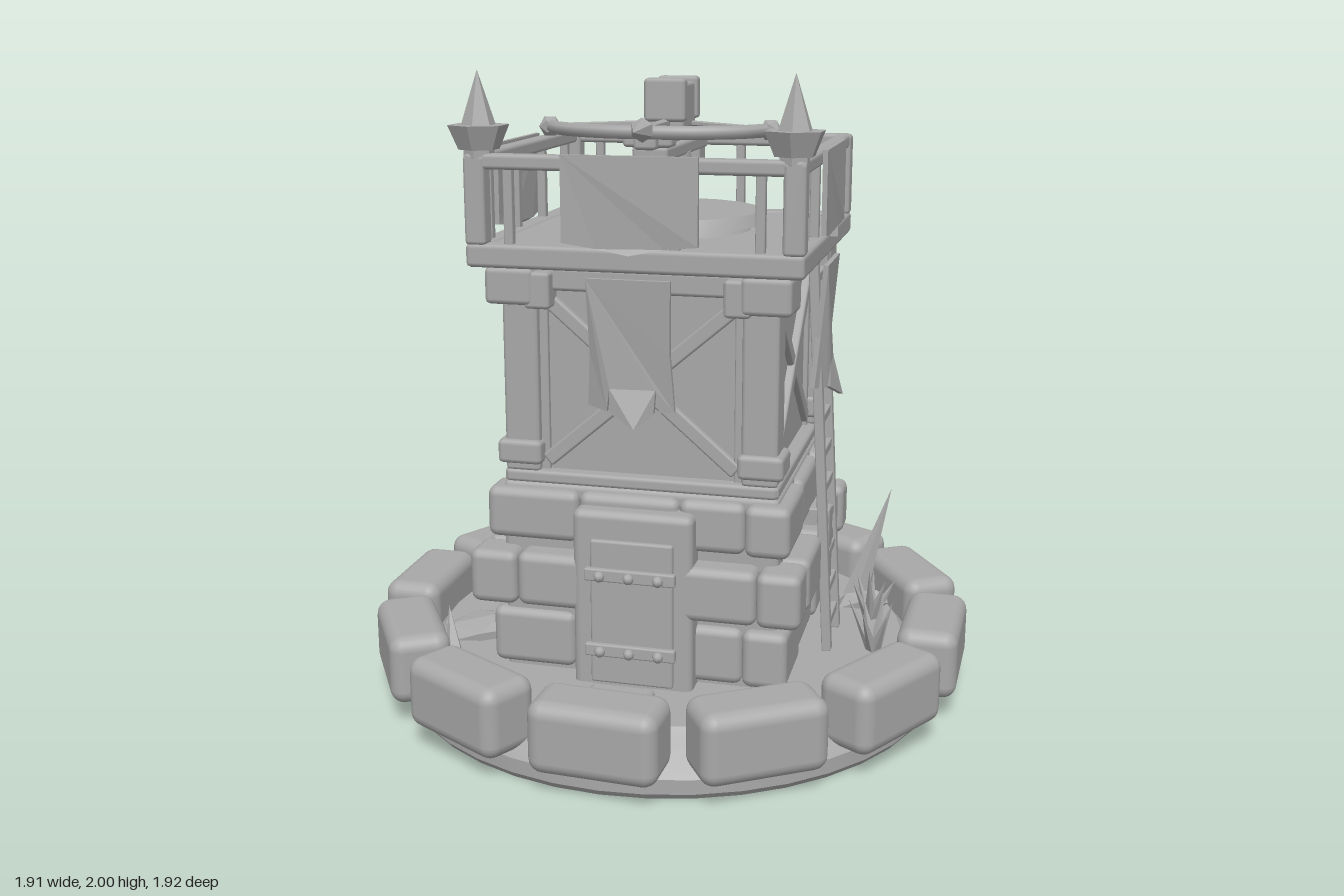
import * as THREE from 'three';
import { RoundedBoxGeometry } from 'three/addons/geometries/RoundedBoxGeometry.js';
import { toCreasedNormals } from 'three/addons/utils/BufferGeometryUtils.js';

const grey = new THREE.MeshStandardMaterial({ color: 0xa8a8a8, side: THREE.DoubleSide });
grey.name = 'stone grey';
const V = (x, y, z) => new THREE.Vector3(x, y, z);

let seed = 7;
const rand = () => (seed = (seed * 16807) % 2147483647) / 2147483647;

function add(parent, name, geo, x = 0, y = 0, z = 0) {
  const m = new THREE.Mesh(geo, grey);
  m.name = name;
  m.position.set(x, y, z);
  parent.add(m);
  return m;
}
const facet = (geo) => toCreasedNormals(geo, 0.5);
// Bevelled box given by its extents
function block(parent, name, x0, x1, y0, y1, z0, z1, r = 0.012, seg = 1) {
  const w = x1 - x0, h = y1 - y0, d = z1 - z0;
  const geo = new RoundedBoxGeometry(w, h, d, seg, Math.min(r, w * 0.45, h * 0.45, d * 0.45));
  return add(parent, name, geo, (x0 + x1) / 2, (y0 + y1) / 2, (z0 + z1) / 2);
}
// Tapered bar between two points
function bar(parent, name, a, b, r0, r1 = r0, sides = 6) {
  const dir = b.clone().sub(a);
  const m = add(parent, name, facet(new THREE.CylinderGeometry(r1, r0, dir.length(), sides)));
  m.position.copy(a).add(b).multiplyScalar(0.5);
  m.quaternion.setFromUnitVectors(V(0, 1, 0), dir.normalize());
  return m;
}
// Hanging cloth with a ragged lower edge, swelling towards the bottom
function cloth(parent, name, pts, z, swell) {
  const geo = new THREE.ExtrudeGeometry(new THREE.Shape(pts.map(p => new THREE.Vector2(...p))),
    { depth: 0.015, bevelEnabled: false });
  const p = geo.attributes.position, top = pts[0][1];
  for (let i = 0; i < p.count; i++) {
    const t = Math.max(0, top - p.getY(i));
    p.setZ(i, p.getZ(i) + swell * t * Math.cos(p.getX(i) * 24));
  }
  geo.computeVertexNormals();
  return add(parent, name, geo, 0, 0, z);
}

function buildBase(root) {
  const g = new THREE.Group();
  g.name = 'base';
  root.add(g);
  const profile = [[0, 0], [0.865, 0], [0.88, 0.02], [0.88, 0.065], [0.86, 0.09], [0.79, 0.14], [0.76, 0.17], [0, 0.17]];
  add(g, 'groundDisc', toCreasedNormals(new THREE.LatheGeometry(profile.map(p => new THREE.Vector2(...p)), 40), 0.6));
  // Ring of twelve kerb stones
  for (let i = 0; i < 12; i++) {
    const a = i * Math.PI / 6;
    const s = add(g, 'kerbStone', new RoundedBoxGeometry(0.385, 0.22, 0.19, 3, 0.045),
      Math.sin(a) * 0.86, 0.185, Math.cos(a) * 0.86);
    s.rotation.y = a + (rand() - 0.5) * 0.1;
  }
  block(g, 'doorStep', -0.1, 0.1, 0.13, 0.22, 0.6, 0.71, 0.02, 2);
  // Tall thorns leaning outwards
  for (const [x, z, tx, ty, tz] of [[0.56, -0.41, 0.67, 0.54, -0.49], [-0.56, -0.41, -0.67, 0.54, -0.49],
    [0, -0.68, 0, 0.54, -0.84], [-0.55, 0.55, -0.61, 0.35, 0.45]])
    bar(g, 'thorn', V(x, 0.15, z), V(tx, ty, tz), 0.045, 0, 5);
  // Grass tufts
  for (const [x, z] of [[-0.32, -0.58], [-0.22, -0.64], [0.08, -0.62], [0.64, -0.2], [0.68, 0.06]])
    for (let i = 0; i < 6; i++) {
      const a = i * 1.05 + x * 9, r = 0.04 + rand() * 0.05;
      bar(g, 'grassBlade', V(x, 0.16, z), V(x + Math.cos(a) * r, 0.29 + rand() * 0.08, z + Math.sin(a) * r), 0.022, 0, 4);
    }
  // Flat slabs lying on the ground
  for (const [x, z, w, d, turn] of [[-0.6, 0.22, 0.17, 0.1, 0.4], [0.22, -0.68, 0.06, 0.18, -0.2], [0.6, -0.31, 0.1, 0.05, 0.2]]) {
    const s = add(g, 'slab', facet(new THREE.IcosahedronGeometry(1, 0)), x, 0.18, z);
    s.scale.set(w, 0.045, d);
    s.rotation.set(0.1, turn, 0.12);
  }
}

// One wall, facing +z, turned into place by its group
function buildSide(root, k) {
  const g = new THREE.Group();
  g.name = ['frontWall', 'rightWall', 'backWall', 'leftWall'][k];
  g.rotation.y = k * Math.PI / 2;
  root.add(g);
  // Stone courses, interlocking at the corners
  const courses = [[0.18, 0.36, 0.465, [-0.465, -0.2, 0.12, 0.325]],
    [0.395, 0.565, 0.515, [-0.515, -0.365, -0.1, 0.1, 0.375]],
    [0.595, 0.755, 0.47, [-0.47, -0.18, 0.13, 0.33]]];
  for (const [y0, y1, h, cuts] of courses)
    for (let i = 0; i < cuts.length - 1; i++)
      block(g, 'wallStone', cuts[i], cuts[i + 1], y0, y1, h - 0.14, h - rand() * 0.015, 0.028, 2);
  // Cross-shaped arrow slit
  if (k) {
    block(g, 'arrowSlit', -0.035, 0.035, 0.37, 0.62, 0.42, 0.525, 0.006);
    block(g, 'arrowSlit', -0.085, 0.085, 0.46, 0.53, 0.42, 0.522, 0.006);
  }
  // Timber frame
  block(g, 'sillBeam', -0.42, 0.42, 0.765, 0.805, 0.37, 0.425);
  block(g, 'topBeam', -0.42, 0.42, 1.36, 1.43, 0.36, 0.415);
  block(g, 'cornerPost', 0.31, 0.42, 0.8, 1.42, 0.31, 0.42);
  block(g, 'postFoot', 0.3, 0.44, 0.825, 0.9, 0.3, 0.44, 0.016);
  block(g, 'postCap', 0.31, 0.46, 1.32, 1.43, 0.31, 0.46, 0.016);
  for (const s of [-1, 1]) {
    block(g, 'bracket', s * 0.3 - 0.04, s * 0.3 + 0.04, 1.31, 1.42, 0.36, 0.455);
    block(g, 'batten', s * 0.3 - 0.015, s * 0.3 + 0.015, 0.8, 1.38, 0.36, 0.395, 0.005);
    const brace = block(g, 'crossBrace', -0.385, 0.385, 1.062, 1.108, 0.37, s > 0 ? 0.405 : 0.4, 0.008);
    brace.rotation.z = s * 0.71;
  }
  // Platform edge and railing
  block(g, 'platformEdge', -0.5, 0.5, 1.435, 1.505, 0.43, 0.5, 0.014);
  block(g, 'topRail', -0.5, 0.5, 1.72, 1.765, 0.445, 0.495);
  block(g, 'railPost', 0.435, 0.5, 1.5, 1.76, 0.435, 0.5);
  for (const x of [-0.37, -0.125, 0.125, 0.37]) block(g, 'baluster', x - 0.014, x + 0.014, 1.5, 1.73, 0.455, 0.483, 0.004);
  // Cloth panel and hanging banner
  if (k !== 2) {
    cloth(g, 'railCloth', [[-0.2, 1.77], [-0.2, 1.52], [-0.1, 1.505], [0, 1.49], [0.1, 1.51], [0.2, 1.52], [0.2, 1.77]], 0.5, 0.03);
    cloth(g, 'banner', [[-0.13, 1.42], [-0.125, 1.2], [-0.135, 1.04], [-0.07, 1.03], [-0.06, 1.1], [-0.06, 1.03], [0.02, 0.99],
      [0.07, 1.03], [0.075, 1.1], [0.085, 1.03], [0.125, 1.03], [0.115, 1.2], [0.12, 1.42]], 0.5, 0.09);
  }
}

function buildDoor(root) {
  const g = new THREE.Group();
  g.name = 'door';
  root.add(g);
  block(g, 'doorFrame', -0.185, 0.185, 0.14, 0.72, 0.36, 0.51, 0.025, 2);
  block(g, 'doorPanel', -0.125, 0.13, 0.18, 0.635, 0.49, 0.525, 0.008);
  for (const y of [0.29, 0.53]) {
    block(g, 'strap', -0.14, 0.14, y - 0.02, y + 0.02, 0.515, 0.54, 0.006);
    for (const x of [-0.09, 0, 0.09]) add(g, 'bolt', new THREE.SphereGeometry(0.017, 8, 6), x, y, 0.547);
  }
}

function buildLadder(root) {
  const g = new THREE.Group();
  g.name = 'ladder';
  root.add(g);
  for (const z of [-0.1, 0.095]) {
    const rail = block(g, 'ladderRail', -0.015, 0.015, -0.63, 0.63, z - 0.017, z + 0.017, 0.004);
    rail.position.x = 0.5;
    rail.position.y = 0.8;
    rail.rotation.z = 0.055;
  }
  for (let y = 0.25; y < 1.4; y += 0.112)
    block(g, 'rung', 0.518 - (y - 0.8) * 0.055 - 0.03, 0.518 - (y - 0.8) * 0.055 - 0.008, y - 0.015, y + 0.015, -0.1, 0.1, 0.004);
}

function buildBallista(root) {
  const g = new THREE.Group();
  g.name = 'ballista';
  root.add(g);
  const disc = (r, y, h) => add(g, 'turntable', facet(new THREE.CylinderGeometry(r - 0.02, r, h, 20)), 0, y, 0);
  disc(0.25, 1.515, 0.03);
  disc(0.3, 1.542, 0.036);
  add(g, 'pivot', toCreasedNormals(new THREE.CylinderGeometry(0.06, 0.075, 0.19, 12), 0.6), 0, 1.645, 0);
  block(g, 'stock', -0.055, 0.055, 1.73, 1.775, -0.27, 0.28);
  block(g, 'stockTail', -0.045, 0.045, 1.645, 1.74, -0.28, -0.19);
  block(g, 'arrowBed', -0.035, 0.035, 1.77, 1.81, -0.13, 0.34);
  block(g, 'bowMount', -0.075, 0.075, 1.775, 1.81, 0.24, 0.31);
  // Winch housing with end bands
  block(g, 'housing', -0.055, 0.055, 1.81, 1.95, -0.09, 0.08);
  for (const z of [-0.09, 0.08]) block(g, 'housingBand', -0.065, 0.065, 1.835, 1.965, z - 0.024, z + 0.024);
  // Bow, string and bolt
  const curve = new THREE.CatmullRomCurve3([V(-0.34, 1.822, 0.17), V(-0.27, 1.822, 0.26), V(-0.14, 1.822, 0.325), V(0, 1.822, 0.34),
    V(0.14, 1.822, 0.325), V(0.27, 1.822, 0.26), V(0.34, 1.822, 0.17)]);
  add(g, 'bow', new THREE.TubeGeometry(curve, 24, 0.02, 6));
  for (const s of [-1, 1]) {
    add(g, 'bowTip', facet(new THREE.IcosahedronGeometry(0.034, 0)), s * 0.34, 1.822, 0.17);
    bar(g, 'bowString', V(s * 0.34, 1.822, 0.17), V(s * 0.04, 1.822, -0.05), 0.009);
  }
  bar(g, 'boltShaft', V(0, 1.83, -0.1), V(0, 1.83, 0.37), 0.014);
  bar(g, 'boltHead', V(0, 1.83, 0.36), V(0, 1.83, 0.46), 0.036, 0);
}

export function createModel() {
  const root = new THREE.Group();
  root.name = 'watchtower';
  buildBase(root);
  block(root, 'stoneCore', -0.43, 0.43, 0.14, 0.77, -0.43, 0.43, 0.02);
  block(root, 'timberCore', -0.38, 0.38, 0.76, 1.44, -0.38, 0.38, 0.005);
  block(root, 'platformFloor', -0.47, 0.47, 1.44, 1.5, -0.47, 0.47, 0.005);
  for (let k = 0; k < 4; k++) buildSide(root, k);
  buildDoor(root);
  buildLadder(root);
  buildBallista(root);
  // Torches on the front corners
  for (const s of [-1, 1]) {
    add(root, 'torchCup', facet(new THREE.CylinderGeometry(0.09, 0.06, 0.07, 6)), s * 0.46, 1.81, 0.46);
    add(root, 'torchStem', facet(new THREE.CylinderGeometry(0.045, 0.045, 0.04, 6)), s * 0.46, 1.77, 0.46);
    add(root, 'torchFlame', facet(new THREE.ConeGeometry(0.052, 0.16, 6)), s * 0.46, 1.92, 0.46);
  }
  return root;
}
